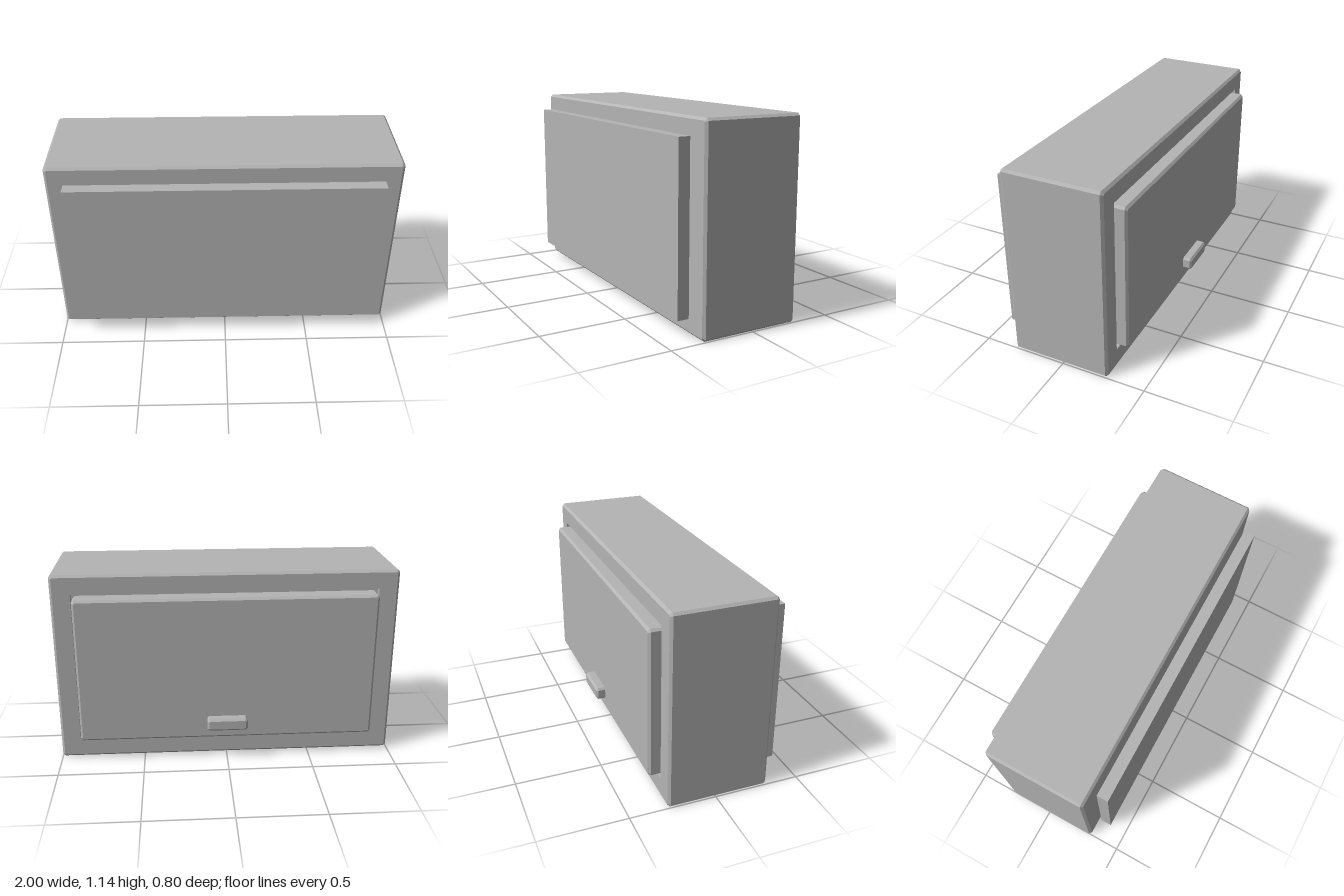
import * as THREE from 'three';

// Rectangle with cut corners, counter-clockwise seen from +z
function ring(halfW, y0, y1, z, cut) {
  return [
    [halfW, y0 + cut], [halfW, y1 - cut], [halfW - cut, y1], [-halfW + cut, y1],
    [-halfW, y1 - cut], [-halfW, y0 + cut], [-halfW + cut, y0], [halfW - cut, y0],
  ].map(([x, y]) => [x, y, z]);
}

// Joins rings ordered from front to back and caps both ends, with flat faces
function loft(rings) {
  const pos = [];
  const tri = (a, b, c) => pos.push(...a, ...b, ...c);
  const n = rings[0].length;
  for (let r = 0; r < rings.length - 1; r++) {
    const a = rings[r], b = rings[r + 1];
    for (let i = 0; i < n; i++) {
      const j = (i + 1) % n;
      tri(a[i], b[i], b[j]);
      tri(a[i], b[j], a[j]);
    }
  }
  const first = rings[0], last = rings[rings.length - 1];
  for (let i = 1; i < n - 1; i++) {
    tri(first[0], first[i], first[i + 1]);
    tri(last[0], last[i + 1], last[i]);
  }
  const geo = new THREE.BufferGeometry();
  geo.setAttribute('position', new THREE.Float32BufferAttribute(pos, 3));
  geo.computeVertexNormals();
  return geo;
}

// Block whose back edges are chamfered
function backBlock(halfW, y0, y1, zFront, zBack, c) {
  return loft([
    ring(halfW, y0, y1, zFront, c),
    ring(halfW, y0, y1, zBack + c, c),
    ring(halfW - c, y0 + c, y1 - c, zBack, c / 2),
  ]);
}

export function createModel() {
  const model = new THREE.Group();
  model.name = 'cabinet';
  const grey = new THREE.MeshStandardMaterial({ color: 0xb4b4b4 });
  grey.name = 'grey';

  const add = (name, geometry) => {
    const mesh = new THREE.Mesh(geometry, grey);
    mesh.name = name;
    model.add(mesh);
    return mesh;
  };

  // Chamfered case with a shallow recess in its back
  const c = 0.014;
  add('case', loft([
    ring(1 - c, c, 1.14 - c, 0.31, c / 2),
    ring(1, 0, 1.14, 0.31 - c, c),
    ring(1, 0, 1.14, -0.28 + c, c),
    ring(1 - c, c, 1.14 - c, -0.28, c / 2),
    ring(0.885, 0.115, 1.03, -0.28, 0.004),
    ring(0.885, 0.115, 1.03, -0.24, 0.004),
  ]));

  // Door set in the recess, and its pull
  add('door', backBlock(0.875, 0.135, 1.01, -0.23, -0.345, 0.013));
  add('handle', backBlock(0.12, 0.203, 0.278, -0.34, -0.4, 0.012));

  // Plain panel standing just off the front
  const panel = add('frontPanel', new THREE.BoxGeometry(1.79, 0.945, 0.067));
  panel.position.set(0, 0.5725, 0.3665);

  return model;
}
